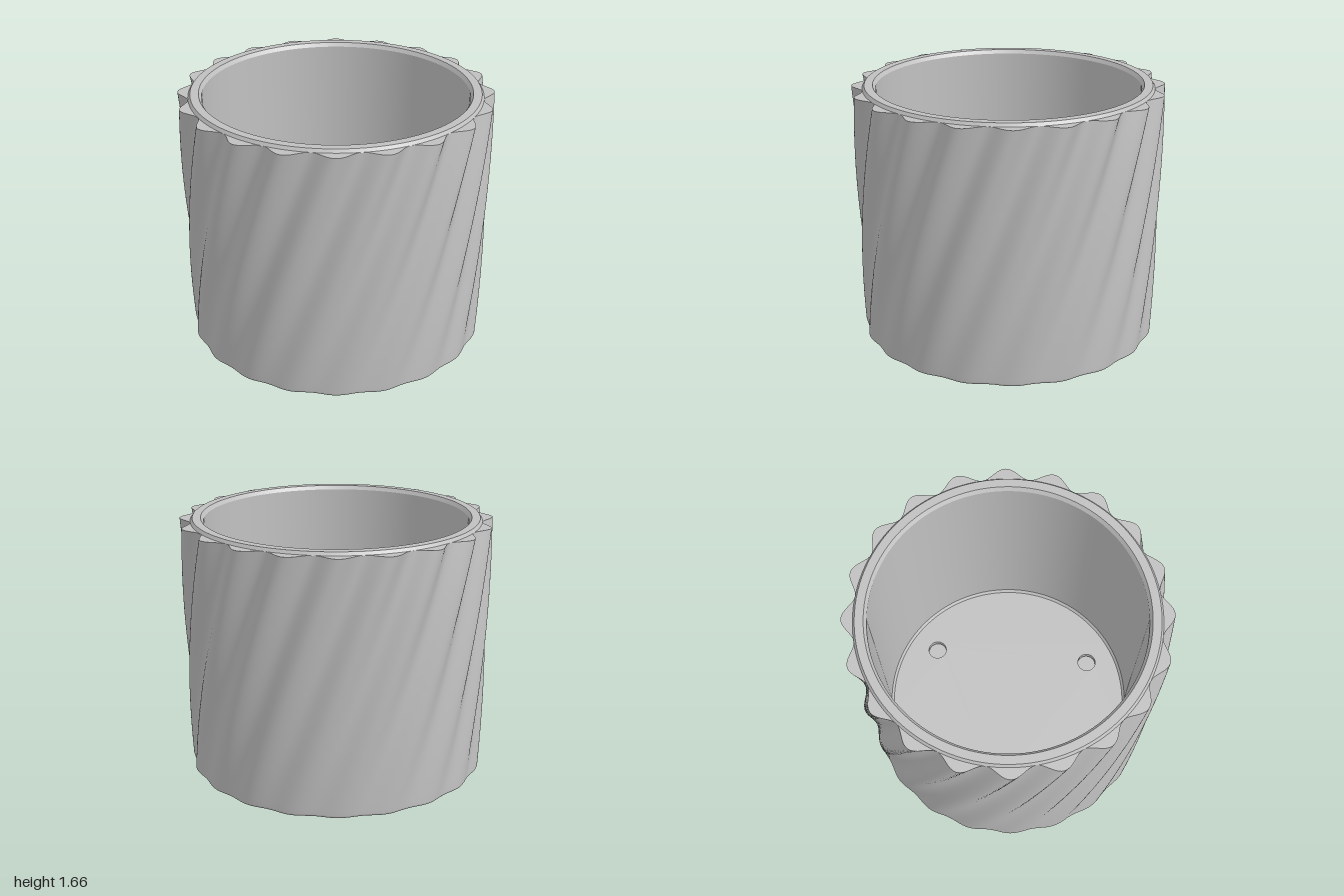
import * as THREE from 'three';
import { mergeGeometries } from 'three/addons/utils/BufferGeometryUtils.js';

const LOBES = 20, SEG = 320, ROWS = 48;
const TOP = 1.645, TWIST = Math.PI / 5;

// Radius of the fluted wall: deep lobes at the top fading towards the base
function wallPoint(i, y, inset = 0) {
  const t = y / TOP;
  const a = (i / SEG) * Math.PI * 2;
  const peak = 0.972 + 0.028 * t;
  const valley = 0.955 - 0.027 * t;
  const wave = 0.5 + 0.5 * Math.cos(LOBES * (a - TWIST * (t - 1)));
  const r = valley + (peak - valley) * wave - inset;
  return [r * Math.sin(a), y, r * Math.cos(a)];
}

// Joins closed rings of points with quads, lowest ring first
function loft(rings) {
  const index = [];
  for (let j = 0; j < rings.length - 1; j++) {
    for (let i = 0; i < SEG; i++) {
      const k = (i + 1) % SEG;
      const a = j * SEG + i, b = j * SEG + k;
      index.push(a, b, b + SEG, a, b + SEG, a + SEG);
    }
  }
  const geo = new THREE.BufferGeometry();
  geo.setAttribute('position', new THREE.Float32BufferAttribute(rings.flat(2), 3));
  geo.setIndex(index);
  geo.computeVertexNormals();
  return geo;
}

const ring = (y, inset) => Array.from({ length: SEG }, (_, i) => wallPoint(i, y, inset));

// Lathe with a hard edge at every profile point
function crispLathe(profile, segments) {
  const bands = [];
  for (let i = 0; i < profile.length - 1; i++) {
    const pair = [profile[i], profile[i + 1]].map(([r, y]) => new THREE.Vector2(r, y));
    bands.push(new THREE.LatheGeometry(pair, segments));
  }
  return mergeGeometries(bands);
}

function circleHole(x, y, r) {
  return new THREE.Path().absarc(x, y, r, 0, Math.PI * 2, true);
}

export function createModel() {
  const group = new THREE.Group();
  const grey = new THREE.MeshStandardMaterial({ color: 0xc0c0c0 });
  grey.name = 'plain grey';
  const add = (name, geo) => {
    const mesh = new THREE.Mesh(geo, grey);
    mesh.name = name;
    group.add(mesh);
    return mesh;
  };

  // Twisted fluted wall with a small rounded bottom edge
  const FILLET = 0.02;
  const rings = [];
  for (let j = 0; j < 5; j++) {
    const a = (j / 5) * Math.PI / 2;
    rings.push(ring(FILLET * (1 - Math.cos(a)), FILLET * (1 - Math.sin(a))));
  }
  for (let j = 0; j <= ROWS; j++) rings.push(ring(FILLET + (TOP - FILLET) * j / ROWS, 0));
  add('flutedWall', loft(rings));

  // Flat scalloped top edge
  const inner = Array.from({ length: SEG }, (_, i) => {
    const a = (i / SEG) * Math.PI * 2;
    return [0.88 * Math.sin(a), TOP, 0.88 * Math.cos(a)];
  });
  add('scallopedTop', loft([ring(TOP, 0), inner]));

  // Underside with four shallow round recesses on the diagonals
  const RECESS = 0.097, DEPTH = 0.02;
  const base = new THREE.Shape(ring(0, FILLET).map(([x, , z]) => new THREE.Vector2(x, z)));
  const recessGeo = crispLathe([[0, DEPTH], [RECESS, DEPTH], [RECESS, 0]], 40);
  for (const sx of [-1, 1]) {
    for (const sz of [-1, 1]) {
      const x = sx * 0.56, z = sz * 0.56;
      base.holes.push(circleHole(x, z, RECESS));
      add('footRecess', recessGeo).position.set(x, 0, z);
    }
  }
  add('underside', new THREE.ShapeGeometry(base, 20).rotateX(Math.PI / 2));

  // Inner liner: chamfered lip and slightly tapered wall
  const FLOOR = 0.12;
  add('linerRimAndWall', crispLathe([
    [0.93, TOP - 0.002], [0.915, 1.665], [0.862, 1.665], [0.845, 1.64],
    [0.835, FLOOR + 0.02], [0.82, FLOOR],
  ], 128));

  // Liner floor with three drain holes
  const floor = new THREE.Shape().absarc(0, 0, 0.825, 0, Math.PI * 2, false);
  for (let i = 0; i < 3; i++) {
    const a = Math.PI / 2 + i * Math.PI * 2 / 3;
    floor.holes.push(circleHole(0.63 * Math.cos(a), 0.63 * Math.sin(a), 0.063));
  }
  const floorGeo = new THREE.ExtrudeGeometry(floor, { depth: 0.04, bevelEnabled: false, curveSegments: 64 });
  add('linerFloor', floorGeo.rotateX(-Math.PI / 2).translate(0, FLOOR - 0.04, 0));

  // Pot floor seen through the drain holes
  add('potFloor', new THREE.CircleGeometry(0.85, 64).rotateX(-Math.PI / 2).translate(0, 0.06, 0));

  return group;
}
